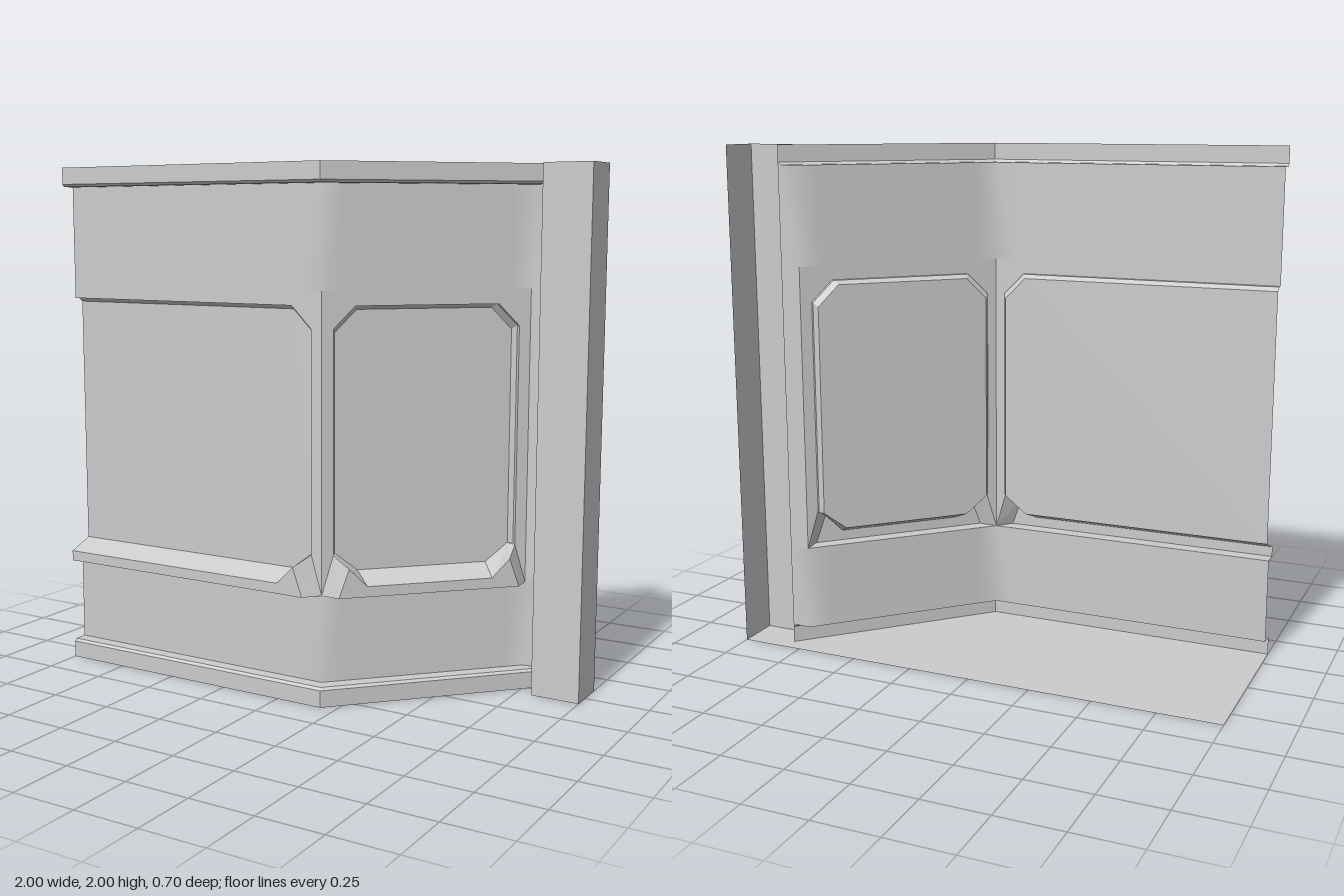
import * as THREE from 'three';

const material = new THREE.MeshStandardMaterial({ color: 0xcccccc, side: THREE.DoubleSide });
const WALL_LOW = 0.41, WALL_HIGH = 1.54, DEPTH = 0.04;

function mesh(name, geometry) {
  const m = new THREE.Mesh(geometry, material);
  m.name = name;
  return m;
}

// Sheet through rows of [x, y, z] points, each row with the same count
function sheet(rows, smooth = false) {
  const n = rows[0].length, index = [];
  for (let r = 0; r < rows.length - 1; r++) {
    for (let c = 0; c < n - 1; c++) {
      const a = r * n + c, b = a + n;
      index.push(a, a + 1, b + 1, a, b + 1, b);
    }
  }
  let g = new THREE.BufferGeometry();
  g.setAttribute('position', new THREE.Float32BufferAttribute(rows.flat(2), 3));
  g.setIndex(index);
  if (!smooth) g = g.toNonIndexed();
  g.computeVertexNormals();
  return g;
}

function flat(points, z = 0) {
  const shape = new THREE.Shape(points.map(([x, y]) => new THREE.Vector2(x, y)));
  return new THREE.ShapeGeometry(shape).translate(0, 0, z);
}

const at = (path, y) => path.map(([x, z]) => [x, y, z]);

// One wall facet in its own plane, running from x = s to x = e;
// an open facet lets the recess run off its start
function facet(name, s, e, open) {
  const group = new THREE.Group();
  group.name = name;

  // Chamfered edge of the recess, up the end side and over the top
  const arch = (inset) => {
    const x0 = s + 0.045 + inset, x1 = e - 0.045 - inset, y = 1.485 - inset, c = 0.083;
    const pts = [[x1, 0.56], [x1, y - c], [x1 - c, y]];
    if (open) pts.push([s, y]);
    else pts.push([x0 + c, y], [x0, y - c], [x0, 0.56]);
    return pts;
  };
  const lift = (pts, z) => pts.map(([x, y]) => [x, y, z]);

  const outer = arch(0), inner = arch(0.015);
  const start = open ? [] : [[s, WALL_LOW]];
  group.add(mesh('frame', flat([...outer, ...start, [s, WALL_HIGH], [e, WALL_HIGH], [e, WALL_LOW]])));
  group.add(mesh('reveal', sheet([lift(outer, 0), lift(outer, -DEPTH / 2), lift(inner, -DEPTH)])));
  group.add(mesh('panel', flat([...inner, [open ? s : s + 0.15, 0.49], [e - 0.15, 0.49]], -DEPTH)));

  // Sill with raised corner gussets: front and back edges, clockwise
  const p = 0.06;
  let front = [[e - 0.16, 0.45, p], [e - 0.09, 0.52, p], [e - 0.09, 0.52, p], [e - 0.05, WALL_LOW, p]];
  let back = [[e - 0.15, 0.49, -DEPTH], [e - 0.06, 0.56, -DEPTH], [e - 0.045, 0.56, 0], [e, WALL_LOW, 0]];
  if (open) {
    front = [[s, 0.45, p], ...front, [s, WALL_LOW, p]];
    back = [[s, 0.49, -DEPTH], ...back, [s, WALL_LOW, 0]];
  } else {
    const mirror = (pts) => pts.map(([x, y, z]) => [s + e - x, y, z]).reverse();
    front = [...mirror(front), ...front];
    back = [...mirror(back), ...back];
    front.push(front[0]);
    back.push(back[0]);
  }
  group.add(mesh('sillSlopes', sheet([front, back])));
  const face = front.filter((q, i) => i === 0 || q[0] !== front[i - 1][0] || q[1] !== front[i - 1][1]);
  if (!open) face.pop();
  group.add(mesh('sillFace', flat(face, p)));
  return group;
}

export function createModel() {
  const model = new THREE.Group();

  // Plan lines of the wall face and of the projecting trim
  const wall = [[-1, 0.29], [0.16, 0.29], [0.73, -0.29], [0.81, -0.29]];
  const trim = [[-1, 0.35], [0.19, 0.35], [0.81, -0.29], [0.81, -0.29]];
  const between = (t) => wall.map(([x, z], i) => [x + (trim[i][0] - x) * t, z + (trim[i][1] - z) * t]);

  // Top and bottom trim
  const profile = [[1, 0], [1, 0.065], [0.85, 0.075], [0, 0.075]];
  model.add(mesh('bottomTrim', sheet(profile.map(([t, y]) => at(between(t), y)))));
  model.add(mesh('topTrim', sheet(profile.map(([t, y]) => at(between(t), 2 - y)).reverse())));

  // Plain bands with softly shaded bends
  const bend = [[-1, 0.29], [0.08, 0.29], [0.16, 0.29], [0.22, 0.229], [0.67, -0.229], [0.73, -0.29], [0.81, -0.29]];
  model.add(mesh('lowerBand', sheet([at(bend, 0.075), at(bend, WALL_LOW)], true)));
  model.add(mesh('upperBand', sheet([at(bend, WALL_HIGH), at(bend, 1.925)], true)));

  // Straight and diagonal facets, both hinged on the corner
  const straight = facet('straightFacet', -1.16, 0, true);
  const diagonal = facet('diagonalFacet', 0, Math.hypot(0.57, 0.58), false);
  diagonal.rotation.y = Math.atan2(0.58, 0.57);
  for (const f of [straight, diagonal]) {
    f.position.set(0.16, 0, 0.29);
    model.add(f);
  }

  // Narrow return beside the post, and the open-backed post
  const side = wall.slice(2);
  model.add(mesh('wallReturn', sheet([at(side, WALL_LOW), at(side, WALL_HIGH)])));
  const post = [[0.81, -0.29], [0.81, -0.18], [1, -0.18], [1, -0.35]];
  model.add(mesh('post', sheet([at(post, 0), at(post, 2)])));

  // Floor
  const plan = [...trim.slice(0, 3), ...post.slice(1), [-1, -0.35]];
  model.add(mesh('floor', flat(plan.map(([x, z]) => [x, -z])).rotateX(-Math.PI / 2)));
  return model;
}
